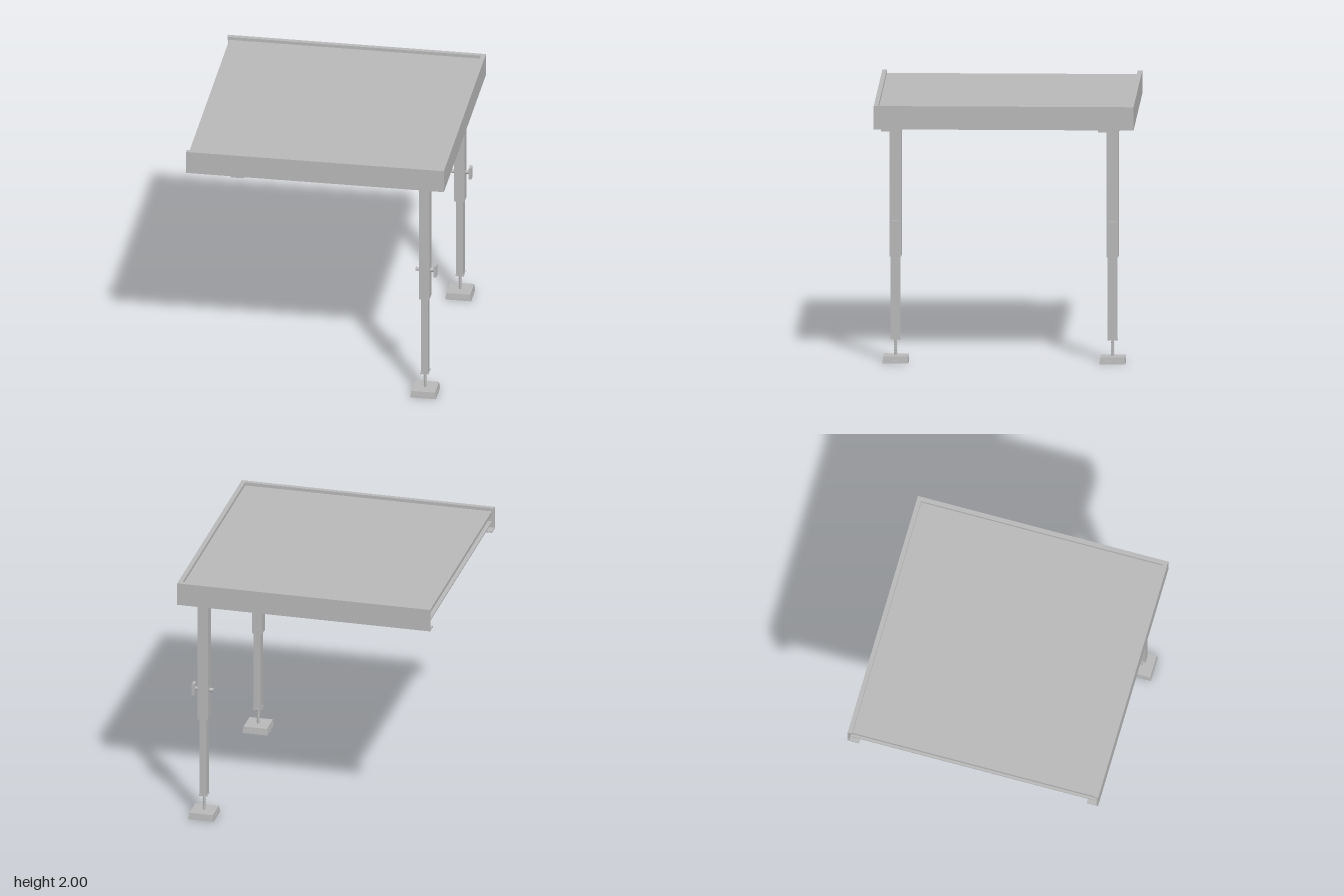
import * as THREE from 'three';

export function createModel() {
  const model = new THREE.Group();
  model.name = 'platformTable';
  const grey = new THREE.MeshStandardMaterial({ color: 0xb8b8b8 });
  grey.name = 'metalGrey';

  const add = (parent, name, geometry, x = 0, y = 0, z = 0) => {
    const mesh = new THREE.Mesh(geometry, grey);
    mesh.name = name;
    mesh.position.set(x, y, z);
    parent.add(mesh);
    return mesh;
  };
  // Box given by its minimum and maximum corners
  const box = (parent, name, [x0, y0, z0], [x1, y1, z1]) =>
    add(parent, name, new THREE.BoxGeometry(x1 - x0, y1 - y0, z1 - z0),
      (x0 + x1) / 2, (y0 + y1) / 2, (z0 + z1) / 2);
  // Profile extruded along z, centred; mitred ends shorten towards the inside (-x)
  const rail = (points, length, mitreLow, mitreHigh) => {
    const shape = new THREE.Shape(points.map(([x, y]) => new THREE.Vector2(x, y)));
    const geometry = new THREE.ExtrudeGeometry(shape, { depth: length, bevelEnabled: false });
    geometry.translate(0, 0, -length / 2);
    const p = geometry.attributes.position;
    for (let i = 0; i < p.count; i++) {
      const z = p.getZ(i);
      if (z < 0 && mitreLow) p.setZ(i, z - p.getX(i));
      if (z > 0 && mitreHigh) p.setZ(i, z + p.getX(i));
    }
    geometry.computeVertexNormals();
    return geometry;
  };

  // Three-sided frame: web, narrow top lip, wide bottom flange
  const frame = [[0, 1.82], [0, 2], [-0.035, 2], [-0.035, 1.975], [-0.027, 1.975],
    [-0.027, 1.99], [-0.012, 1.99], [-0.012, 1.83], [-0.09, 1.83], [-0.09, 1.82]];
  add(model, 'sideRail', rail(frame, 1.99, true, true), 1, 0, 0);
  add(model, 'frontRail', rail(frame, 2, true, false), 0, 0, 0.995).rotation.y = -Math.PI / 2;
  add(model, 'backRail', rail(frame, 2, false, true), 0, 0, -0.995).rotation.y = Math.PI / 2;

  // Deck panel and the channels that carry it
  box(model, 'deckPanel', [-0.985, 1.955, -0.983], [0.988, 1.975, 0.983]);
  const channel = [[0, 1.88], [0, 1.955], [-0.05, 1.955], [-0.05, 1.947],
    [-0.01, 1.947], [-0.01, 1.89], [-0.05, 1.89], [-0.05, 1.88]];
  add(model, 'edgeChannel', rail(channel, 1.93), -0.935, 0, 0);
  add(model, 'middleChannel', rail(channel, 1.966), 0.03, 0, 0);
  box(model, 'frontClip', [-0.655, 1.81, 0.93], [-0.555, 1.82, 0.994]);

  // Corner braces and mounting plates under the deck
  for (const s of [-1, 1]) {
    const brace = add(model, 'cornerBrace', new THREE.BoxGeometry(0.48, 0.06, 0.012),
      0.8, 1.9, s * 0.79);
    brace.rotation.y = s * Math.PI / 4;
    box(model, 'mountPlate', [0.55, 1.947, s * 0.73 - 0.09], [0.73, 1.955, s * 0.73 + 0.09]);
  }

  // Telescopic legs, both facing the same way
  const squareTaper = (bottom, top, height) => {
    const g = new THREE.CylinderGeometry(top * Math.SQRT1_2, bottom * Math.SQRT1_2, height, 4, 1)
      .toNonIndexed();
    g.rotateY(Math.PI / 4);
    g.computeVertexNormals();
    return g;
  };
  for (const [name, z] of [['frontLeg', 0.832], ['backLeg', -0.83]]) {
    const leg = new THREE.Group();
    leg.name = name;
    leg.position.set(0.828, 0, z);
    model.add(leg);

    box(leg, 'outerTube', [-0.041, 0.82, -0.045], [0.04, 1.955, 0.045]);
    box(leg, 'innerTube', [-0.028, 0.185, -0.037], [0.029, 0.82, 0.038]);
    box(leg, 'endCap', [-0.032, 0.178, -0.04], [0.033, 0.188, 0.041]);

    // Top bracket and latch
    box(leg, 'topBracket', [-0.05, 1.8, -0.055], [0.052, 1.82, 0.06]);
    box(leg, 'latchPlate', [0.052, 1.79, -0.017], [0.074, 1.82, 0.11]);

    // Locking pin with handle
    const pin = new THREE.CylinderGeometry(0.015, 0.015, 0.15, 16);
    pin.rotateZ(Math.PI / 2);
    add(leg, 'lockPin', pin, 0.002, 1.06, 0.001);
    box(leg, 'pinHandle', [0.07, 1.01, -0.027], [0.092, 1.105, 0.027]);

    // Levelling screw and foot
    add(leg, 'levellingScrew', new THREE.CylinderGeometry(0.01, 0.01, 0.14, 12), 0, 0.115, 0);
    for (let i = 0; i < 5; i++) {
      add(leg, 'screwThread', new THREE.CylinderGeometry(0.013, 0.013, 0.006, 12), 0, 0.07 + i * 0.022, 0);
    }
    add(leg, 'footBase', squareTaper(0.2, 0.195, 0.025), 0, 0.0125, 0);
    add(leg, 'footTop', squareTaper(0.192, 0.185, 0.027), 0, 0.0385, 0);
  }
  return model;
}
